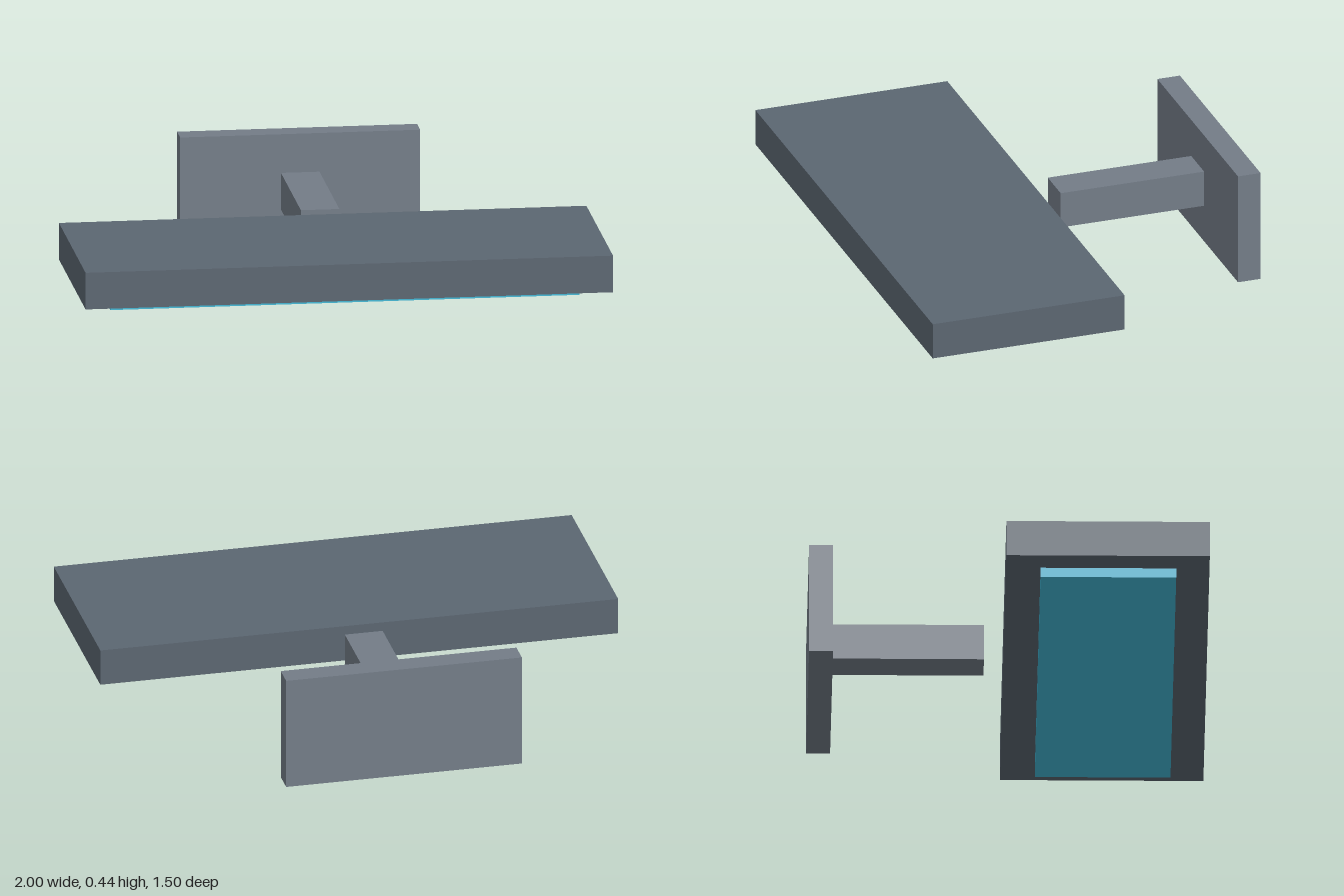
import * as THREE from 'three';

// Box given by its lower and upper corners
function block(name, color, [x0, y0, z0], [x1, y1, z1]) {
  const mesh = new THREE.Mesh(
    new THREE.BoxGeometry(x1 - x0, y1 - y0, z1 - z0),
    new THREE.MeshStandardMaterial({ color })
  );
  mesh.position.set((x0 + x1) / 2, (y0 + y1) / 2, (z0 + z1) / 2);
  mesh.name = name;
  return mesh;
}

export function createModel() {
  const group = new THREE.Group();
  group.name = 'wallLamp';
  group.add(
    // Upright plate at the back with an arm reaching forward
    block('wallPlate', 0x737c87, [-0.455, 0, -0.75], [0.455, 0.44, -0.66]),
    block('arm', 0x737c87, [-0.073, 0.148, -0.66], [0.073, 0.29, -0.088]),
    // Wide flat head with a glowing panel underneath
    block('lampHead', 0x5b6671, [-1, 0.148, -0.015], [1, 0.29, 0.75]),
    block('lightPanel', 0x42b8d6, [-0.89, 0.11, 0.115], [0.89, 0.148, 0.625])
  );
  return group;
}
